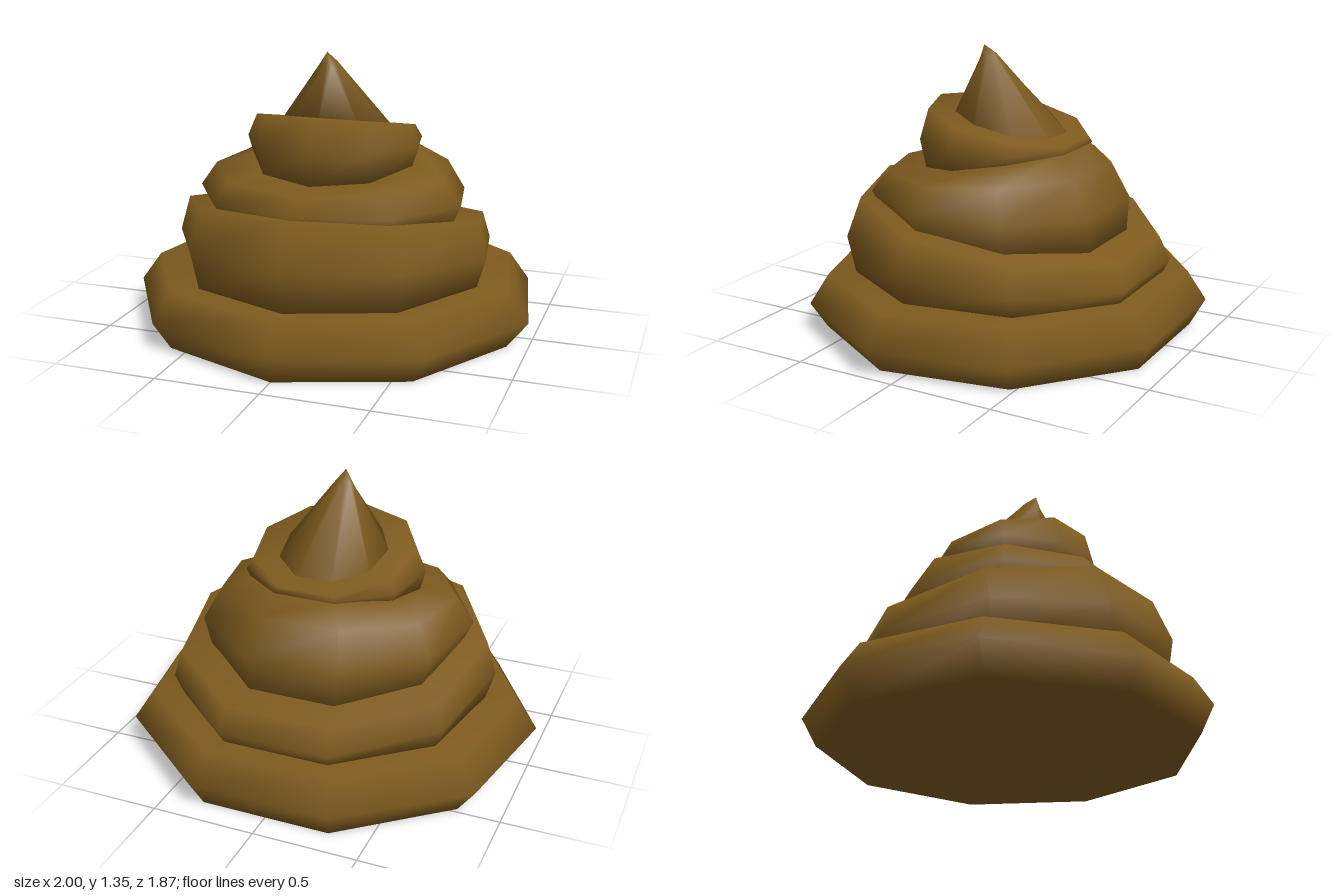
import * as THREE from 'three';

const SIDES = 9;

// One ring of nine corners, point to the front and flat side to the back.
// ring = [half width, front z, front y, back z, back y]
function ringPoints([w, zf, yf, zb, yb]) {
  const back = Math.cos(Math.PI / SIDES);
  const widest = Math.sin((4 * Math.PI) / SIDES);
  return Array.from({ length: SIDES }, (_, k) => {
    const a = (k * 2 * Math.PI) / SIDES;
    const t = (Math.cos(a) + back) / (1 + back);
    return [(w / widest) * Math.sin(a), yb + (yf - yb) * t, zb + (zf - zb) * t];
  });
}

function centre(points) {
  return [0, 1, 2].map((i) => points.reduce((s, p) => s + p[i], 0) / points.length);
}

// Closed smooth loft through rings listed from bottom to top
function loft(rings, tip) {
  const loops = rings.map(ringPoints);
  const top = loops.length - 1;
  const points = [...loops.flat(), centre(loops[0]), tip ?? centre(loops[top])];
  const bottomCentre = points.length - 2;
  const topCentre = points.length - 1;
  const index = [];
  for (let k = 0; k < SIDES; k++) {
    const n = (k + 1) % SIDES;
    for (let r = 0; r < top; r++) {
      const a = r * SIDES;
      const b = a + SIDES;
      index.push(a + k, a + n, b + n, a + k, b + n, b + k);
    }
    index.push(n, k, bottomCentre);
    index.push(top * SIDES + k, top * SIDES + n, topCentre);
  }
  const geometry = new THREE.BufferGeometry();
  geometry.setAttribute('position', new THREE.Float32BufferAttribute(points.flat(), 3));
  geometry.setIndex(index);
  geometry.computeVertexNormals();
  return geometry;
}

export function createModel() {
  const group = new THREE.Group();
  group.name = 'swirl';
  const material = new THREE.MeshStandardMaterial({ color: 0x7d5a1e });

  const add = (name, rings, tip) => {
    const mesh = new THREE.Mesh(loft(rings, tip), material);
    mesh.name = name;
    group.add(mesh);
  };

  // Wide level coil on the ground
  add('baseCoil', [
    [0.9, 0.87, 0, -0.87, 0],
    [1.0, 0.935, 0.13, -0.935, 0.13],
    [0.9, 0.85, 0.27, -0.85, 0.27],
  ]);

  // Second coil, thick at the front
  add('lowerCoil', [
    [0.74, 0.73, 0.26, -0.74, 0.26],
    [0.785, 0.765, 0.47, -0.77, 0.33],
    [0.745, 0.68, 0.68, -0.72, 0.44],
  ]);

  // Third coil, thick at the back, with a shoulder sloping in
  add('middleCoil', [
    [0.6, 0.59, 0.6, -0.565, 0.43],
    [0.66, 0.63, 0.68, -0.567, 0.63],
    [0.575, 0.56, 0.76, -0.48, 0.8],
    [0.41, 0.38, 0.76, -0.39, 0.9],
  ]);

  // Fourth coil, thick at the front
  add('upperCoil', [
    [0.4, 0.37, 0.75, -0.38, 0.87],
    [0.43, 0.4, 0.92, -0.4, 0.9],
    [0.39, 0.36, 1.085, -0.39, 0.925],
  ]);

  // Pointed tip leaning forward
  add('tip', [
    [0.275, 0.25, 1.03, -0.31, 0.925],
    [0.04, 0.13, 1.28, 0.05, 1.31],
  ], [0, 1.35, 0.11]);

  return group;
}
